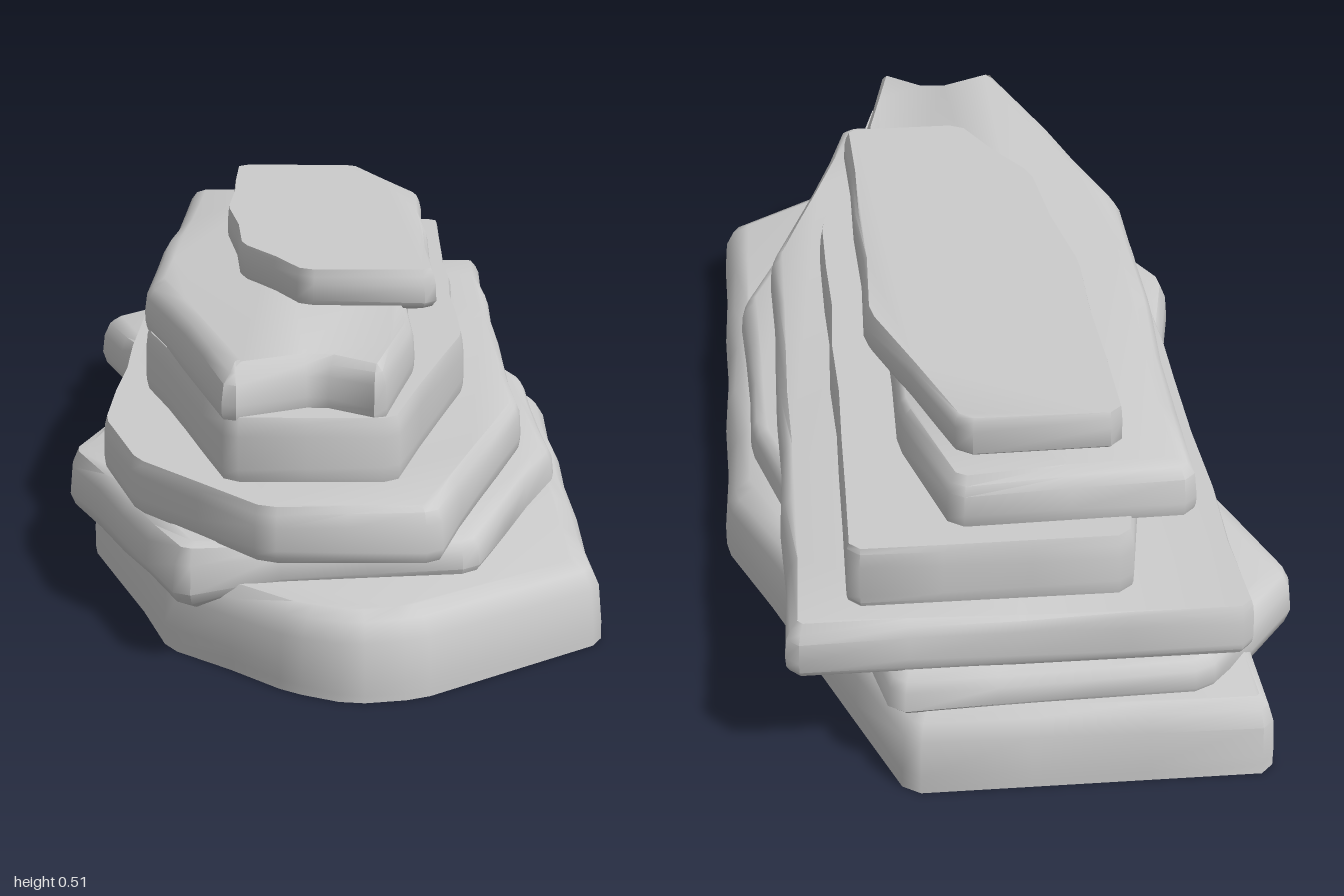
import * as THREE from 'three';
import { toCreasedNormals } from 'three/addons/utils/BufferGeometryUtils.js';

const material = new THREE.MeshStandardMaterial({ color: 0xcccccc, side: THREE.DoubleSide });

// Each slab: height range, top bevel width at its right and left side, bevel of the underside,
// and outline corners [x, z] from the back left, clockwise from above
const slabs = [
  {
    name: 'baseSlab', y0: 0, y1: 0.128, bevel: [0.025, 0.045], under: 0,
    outline: [[-0.38, -1], [0.18, -1], [0.45, -0.31], [0.45, 0.75], [0.16, 0.985], [0.06, 1.005], [-0.03, 0.96],
      [-0.22, 0.78], [-0.38, 0.3]],
    // the underside is hollow at the front left
    hollow: (x, z) => (x < 0.12 && z > -0.2 ? 0.08 : 0.003),
  },
  {
    name: 'secondSlab', y0: 0.115, y1: 0.186, bevel: [0.035, 0.025], under: 0.04,
    outline: [[-0.465, -0.72], [-0.28, -0.96], [0.2, -0.97], [0.4, -0.2], [0.415, 0.28], [0.25, 0.8],
      [-0.2, 0.86], [-0.425, 0.3], [-0.31, -0.25]],
    // the underside sags on the left
    sag: (x, z) => (x < -0.3 ? 0.045 : x < -0.16 && z > 0.5 ? 0.035 : 0),
  },
  {
    name: 'thirdSlab', y0: 0.184, y1: 0.268, bevel: [0.006, 0.02], under: 0.006,
    outline: [[-0.35, -0.945], [0.355, -0.945], [0.355, 0.3], [0.19, 0.92], [-0.07, 0.92], [-0.28, 0.66],
      [-0.35, 0.42]],
  },
  {
    name: 'fourthSlab', y0: 0.264, y1: 0.367, bevel: [0.008, 0.006], under: 0.004,
    outline: [[-0.17, -0.89], [0.26, -0.89], [0.26, 0.22], [0.13, 0.785], [-0.13, 0.785], [-0.295, 0.2],
      [-0.295, -0.25]],
  },
  {
    name: 'fifthSlab', y0: 0.362, y1: 0.446, bevel: [0.035, 0.016], under: 0.003,
    outline: [[-0.275, -0.83], [0.1, -0.84], [0.165, -0.6], [0.165, 0.48], [0.11, 0.79], [0.01, 0.71],
      [-0.13, 0.79], [-0.3, 0.15], [-0.295, -0.25]],
  },
  {
    name: 'topSlab', y0: 0.434, y1: 0.506, bevel: [0.003, 0.01], under: 0.035,
    outline: [[-0.17, -0.76], [0.08, -0.765], [0.205, -0.4], [0.205, 0.355], [-0.02, 0.355], [-0.13, 0.12],
      [-0.17, -0.25]],
  },
];

// Cuts the corners off and splits the long edges, denting them slightly inwards
function weather(outline) {
  return outline.flatMap(([x, z], i) => {
    const [x2, z2] = outline[(i + 1) % outline.length];
    const length = Math.hypot(x2 - x, z2 - z);
    const cut = Math.min(0.02 / length, 0.25);
    const n = Math.max(1, Math.round(length / 0.17));
    return Array.from({ length: n + 1 }, (_, k) => {
      const t = cut + (1 - 2 * cut) * k / n;
      const dent = k % n ? 0.006 * Math.sin(17 * (x + z) + 5 * k) ** 2 : 0;
      return [x + (x2 - x) * t - dent * Math.sign(x), z + (z2 - z) * t];
    });
  });
}

// Moves each corner inwards along the average of its edge normals by a distance depending on x
function inset(points, distance) {
  const n = points.length;
  return points.map(([x, z], i) => {
    const [ax, az] = points[(i + n - 1) % n], [bx, bz] = points[(i + 1) % n];
    const l1 = Math.hypot(x - ax, z - az), l2 = Math.hypot(bx - x, bz - z);
    const nx = -(z - az) / l1 - (bz - z) / l2, nz = (x - ax) / l1 + (bx - x) / l2;
    const s = 2 * distance(x) / Math.max(1.2, nx * nx + nz * nz);
    return [x + nx * s, z + nz * s];
  });
}

function slabGeometry({ y0, y1, bevel, under, outline, sag = () => 0, hollow }) {
  const points = weather(outline), n = points.length, h = y1 - y0;
  const topBevel = (x) => THREE.MathUtils.lerp(bevel[0], bevel[1], THREE.MathUtils.smoothstep(x, -0.15, 0.15));
  // inset and height of each ring, from the underside to the top
  const rings = [
    [() => under, y0], [() => under * 0.2, y0 + h * 0.1], [() => 0, y0 + h * 0.25],
    [(x) => topBevel(x) * 0.12, y1 - h * 0.32], [(x) => topBevel(x) * 0.45, y1 - h * 0.12], [topBevel, y1],
  ];
  if (hollow) rings.unshift([() => 0.01, y0]);
  const last = rings.length - 1;
  const positions = [], index = [];
  rings.forEach(([distance, y], r) => {
    const low = Math.max(0, 1 - r / 4);
    inset(points, distance).forEach(([x, z], i) => {
      const [ox, oz] = points[i];
      // waviness of the sides, keeping top and underside level
      const wave = r > 1 && r < last ? 0.004 * Math.sin(9 * oz + 6 * ox + y * 40) : 0;
      const lift = hollow && r === 0 ? hollow(ox, oz) : 0;
      positions.push(x, y + wave + lift - sag(ox, oz) * low, z);
    });
  });
  // side walls
  for (let r = 0; r < last; r++) {
    for (let i = 0; i < n; i++) {
      const a = r * n + i, b = r * n + (i + 1) % n;
      index.push(a, a + n, b, b, a + n, b + n);
    }
  }
  // top and underside
  const cap = (r, up) => {
    const ring = Array.from({ length: n }, (_, i) => {
      const k = 3 * (r * n + i);
      return new THREE.Vector2(positions[k], positions[k + 2]);
    });
    for (const tri of THREE.ShapeUtils.triangulateShape(ring, [])) {
      const [a, b, c] = tri.map((i) => ring[i]);
      const facesDown = (b.x - a.x) * (c.y - a.y) - (b.y - a.y) * (c.x - a.x) > 0;
      const [i, j, k] = tri.map((v) => v + r * n);
      index.push(...(facesDown === up ? [i, k, j] : [i, j, k]));
    }
  };
  cap(last, true);
  cap(0, false);

  const geometry = new THREE.BufferGeometry();
  geometry.setAttribute('position', new THREE.Float32BufferAttribute(positions, 3));
  geometry.setIndex(index);
  return toCreasedNormals(geometry, 0.8);
}

export function createModel() {
  const group = new THREE.Group();
  group.name = 'layeredRock';
  for (const slab of slabs) {
    const mesh = new THREE.Mesh(slabGeometry(slab), material);
    mesh.name = slab.name;
    group.add(mesh);
  }
  return group;
}
